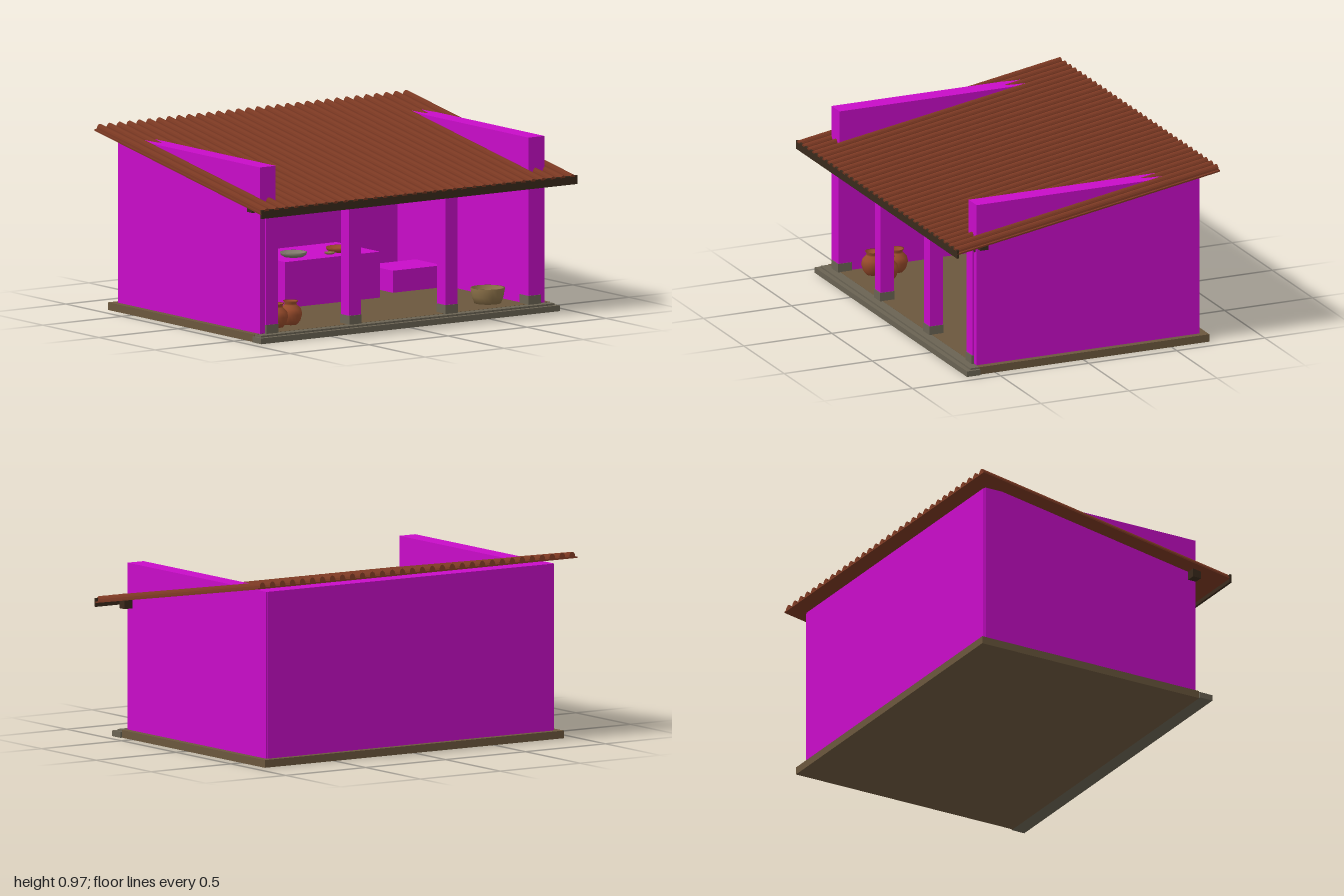
import * as THREE from 'three';

const mat = (color, side = THREE.FrontSide) => new THREE.MeshStandardMaterial({ color, side });
const plaster = mat(0xc80cc8);
const wood = mat(0x3a2a1c);
const floorMat = mat(0x6b573d);
const stone = mat(0x6a6353);
const tile = mat(0x7a3822);
const clay = mat(0x964a2a, THREE.DoubleSide);
const tan = mat(0x8a7048, THREE.DoubleSide);
const grey = mat(0x80796c, THREE.DoubleSide);

export function createModel() {
  const model = new THREE.Group();

  const add = (name, geometry, material, x = 0, y = 0, z = 0) => {
    const mesh = new THREE.Mesh(geometry, material);
    mesh.name = name;
    mesh.position.set(x, y, z);
    model.add(mesh);
    return mesh;
  };
  // Box given by its minimum and maximum on each axis
  const box = (name, material, x0, x1, y0, y1, z0, z1) =>
    add(name, new THREE.BoxGeometry(x1 - x0, y1 - y0, z1 - z0), material,
      (x0 + x1) / 2, (y0 + y1) / 2, (z0 + z1) / 2);
  // Turned vessel from [radius, height] pairs
  const vessel = (name, material, profile, x, y, z, s = 1) =>
    add(name, new THREE.LatheGeometry(
      profile.map(([r, h]) => new THREE.Vector2(r * s, h * s)), 20), material, x, y, z);

  // Floor and front step
  box('floor', floorMat, -0.935, 0.935, 0, 0.04, -0.715, 0.59);
  box('frontStep', stone, -0.945, 0.945, 0, 0.03, 0.589, 0.665);
  box('frontKerb', stone, -0.93, 0.93, 0.03, 0.039, 0.589, 0.64);

  // Walls
  for (const s of [-1, 1]) {
    const wall = box('sideWall', plaster, -0.05, 0.05, 0.01, 0.91, -0.675, 0.59);
    wall.position.x = s * 0.85;
  }
  box('backWall', plaster, -0.89, 0.89, 0.01, 0.91, -0.68, -0.58);

  // Front posts with stone feet and wooden caps
  for (const x of [-0.83, -0.305, 0.305, 0.83]) {
    box('post', plaster, x - 0.037, x + 0.037, 0.08, 0.69, 0.525, 0.6);
    box('postFoot', stone, x - 0.039, x + 0.039, 0.035, 0.085, 0.523, 0.604);
    box('postCap', wood, x - 0.055, x + 0.055, 0.65, 0.68, 0.54, 0.594);
  }
  box('frontBeam', wood, -0.95, 0.95, 0.677, 0.722, 0.545, 0.592);
  box('fascia', wood, -1, 1, 0.67, 0.715, 0.735, 0.747);

  // Sloping roof sheet with rounded ribs
  const ribs = 32, pitch = 2 / ribs, half = 0.018, slope = Math.atan(0.168);
  const length = 1.49 / Math.cos(slope);
  const section = new THREE.Shape();
  section.moveTo(-1, -0.008);
  section.lineTo(1, -0.008);
  section.lineTo(1, 0);
  for (let i = ribs - 1; i >= 0; i--) {
    const cx = -1 + (i + 0.5) * pitch;
    for (let k = 0; k <= 8; k++) {
      const a = (k / 8) * Math.PI;
      section.lineTo(cx + half * Math.cos(a), 0.026 * Math.sin(a));
    }
  }
  section.lineTo(-1, 0);
  section.closePath();
  const roof = new THREE.ExtrudeGeometry(section, { depth: length, bevelEnabled: false });
  roof.translate(0, 0, -length / 2);
  roof.rotateX(slope);
  add('roof', roof, tile, 0, 0.822, 0);

  // Raised back shelf, table and low benches
  box('backShelf', plaster, -0.405, 0.4, 0.01, 0.605, -0.6, -0.42);
  box('table', plaster, -0.3, 0.3, 0.01, 0.28, -0.43, -0.03);
  for (const s of [-1, 1]) {
    const bench = box('bench', plaster, -0.158, 0.158, 0.01, 0.155, -0.36, -0.12);
    bench.position.x = s * 0.603;
  }

  // Storage jars on the floor
  const jar = [[0, 0], [0.034, 0], [0.05, 0.02], [0.06, 0.055], [0.054, 0.082],
    [0.034, 0.102], [0.03, 0.11], [0.04, 0.124], [0.032, 0.122], [0.024, 0.105], [0, 0.1]];
  for (const [x, z] of [[-0.695, 0.45], [-0.585, 0.42], [-0.685, 0.32]]) {
    vessel('jar', clay, jar, x, 0.04, z);
  }

  // Bowls, dishes and small pots
  const bowl = [[0, 0], [0.07, 0], [0.082, 0.035], [0.09, 0.08], [0.08, 0.08], [0.07, 0.03], [0, 0.015]];
  const dish = [[0, 0], [0.05, 0], [0.066, 0.01], [0.07, 0.024], [0.062, 0.024], [0.048, 0.009], [0, 0.007]];
  const cup = [[0, 0], [0.035, 0], [0.031, 0.02], [0.024, 0.03], [0.03, 0.045], [0.024, 0.045], [0.018, 0.03], [0, 0.02]];
  vessel('largeBowl', tan, bowl, 0.655, 0.04, 0.43);
  vessel('benchCup', grey, cup, -0.585, 0.155, -0.24);
  vessel('dish', grey, dish, -0.155, 0.28, -0.16);
  vessel('dish', clay, dish, 0.135, 0.28, -0.16);
  vessel('smallDish', tan, dish, 0.045, 0.28, -0.12, 0.4);
  vessel('smallPot', clay, jar, -0.35, 0.605, -0.5, 0.3);
  vessel('smallPot', clay, cup, -0.2, 0.605, -0.5, 0.7);
  vessel('smallPot', clay, cup, -0.07, 0.605, -0.5, 0.9);
  vessel('smallDish', clay, dish, 0.2, 0.605, -0.5, 0.4);

  return model;
}
